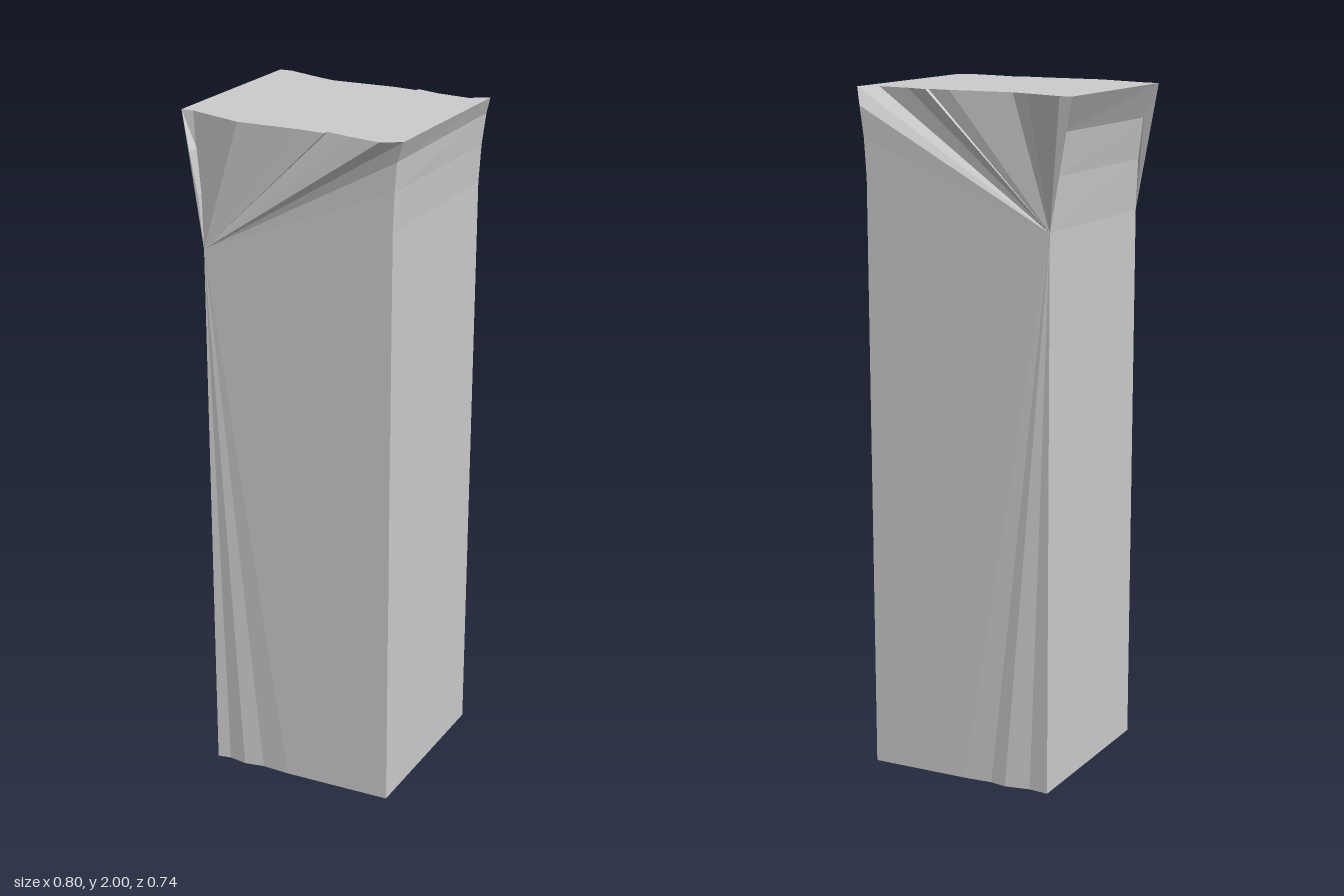
import * as THREE from 'three';

const stone = new THREE.MeshStandardMaterial({ color: 0xcccccc, side: THREE.DoubleSide, flatShading: true });
stone.name = 'grey stone';

// Corner columns from the foot to the flared rim
const frontLeft = [[0.215, 0, 0.33], [0.215, 1.75, 0.33], [0.219, 1.86, 0.331], [0.225, 1.94, 0.334], [0.245, 2, 0.355]];
const backLeft = [[0.37, 0, -0.18], [0.37, 1.75, -0.18], [0.376, 1.86, -0.18], [0.387, 1.95, -0.18], [0.4, 2, -0.155]];
const frontRight = [[-0.33, 0, 0.205], [-0.33, 1.63, 0.205], [-0.343, 1.78, 0.203], [-0.365, 1.9, 0.2], [-0.4, 2, 0.14]];
const backRight = [[-0.175, 0, -0.305], [-0.175, 1.63, -0.305], [-0.186, 1.78, -0.307], [-0.205, 1.9, -0.31], [-0.245, 2, -0.37]];

// Uneven rim and foot lines between the corners, as [x, z] running from right to left
const frontRim = [[-0.365, 0.148], [-0.22, 0.241], [-0.04, 0.285], [0.03, 0.31], [0.035, 0.295], [0.11, 0.335], [0.185, 0.37]];
const backRim = [[-0.21, -0.363], [-0.11, -0.295], [-0.065, -0.268], [0.12, -0.225], [0.185, -0.2], [0.19, -0.213], [0.25, -0.175], [0.34, -0.14]];
const frontFoot = [[-0.29, 0.208], [-0.24, 0.229], [-0.18, 0.234], [-0.1, 0.258]];
const backFoot = [[-0.12, -0.286], [-0.045, -0.281], [0, -0.262], [0.085, -0.247]];

const at = (y, line) => line.map(([x, z]) => [x, y, z]);
const rev = (list) => [...list].reverse();

function triangles(name, list) {
  const geometry = new THREE.BufferGeometry();
  geometry.setAttribute('position', new THREE.Float32BufferAttribute(list.flat(2), 3));
  geometry.computeVertexNormals();
  const mesh = new THREE.Mesh(geometry, stone);
  mesh.name = name;
  return mesh;
}

// Creased side: every facet radiates from one point on a corner
function fan(name, origin, outline) {
  return triangles(name, outline.slice(1).map((p, i) => [origin, outline[i], p]));
}

// Smoothly flaring side between two corner columns
function strip(name, a, b) {
  const list = [];
  for (let i = 0; i < a.length - 1; i++) {
    list.push([a[i], b[i], b[i + 1]], [a[i], b[i + 1], a[i + 1]]);
  }
  return triangles(name, list);
}

// Flat end plate
function cap(name, y, outline, up) {
  const points = outline.map((p) => new THREE.Vector2(p[0], up ? -p[2] : p[2]));
  const geometry = new THREE.ShapeGeometry(new THREE.Shape(points));
  geometry.rotateX(up ? -Math.PI / 2 : Math.PI / 2);
  geometry.translate(0, y, 0);
  const mesh = new THREE.Mesh(geometry, stone);
  mesh.name = name;
  return mesh;
}

export function createModel() {
  const pillar = new THREE.Group();
  pillar.name = 'pillar';

  // Front and back sides with their slanted ledges
  pillar.add(fan('frontSide', frontRight[1], [
    frontRight[0], ...at(0, frontFoot), ...frontLeft, ...rev(at(2, frontRim)), ...rev(frontRight.slice(2)),
  ]));
  pillar.add(fan('backSide', backRight[1], [
    ...backRight.slice(2), ...at(2, backRim), ...rev(backLeft), ...rev(at(0, backFoot)), backRight[0],
  ]));

  // Plain sides curving out to the rim
  pillar.add(strip('leftSide', frontLeft, backLeft));
  pillar.add(strip('rightSide', backRight, frontRight));

  // Top and bottom
  pillar.add(cap('top', 2, [
    frontRight[4], ...at(2, frontRim), frontLeft[4], backLeft[4], ...rev(at(2, backRim)), backRight[4],
  ], true));
  pillar.add(cap('bottom', 0, [
    frontRight[0], ...at(0, frontFoot), frontLeft[0], backLeft[0], ...rev(at(0, backFoot)), backRight[0],
  ], false));

  return pillar;
}
